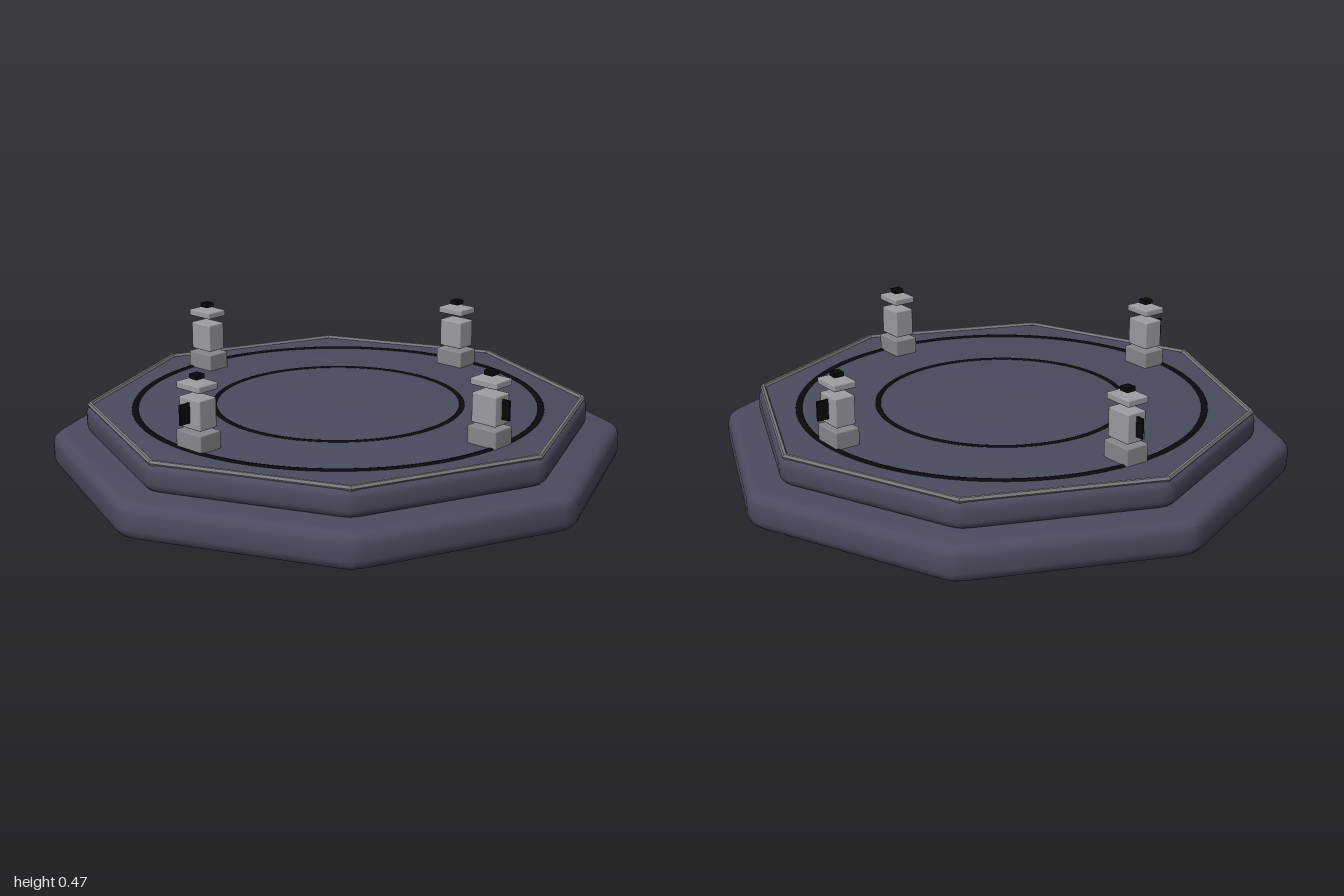
import * as THREE from 'three';
import { toCreasedNormals } from 'three/addons/utils/BufferGeometryUtils.js';
import { RoundedBoxGeometry } from 'three/addons/geometries/RoundedBoxGeometry.js';

const mat = (color, flatShading = false) => new THREE.MeshStandardMaterial({ color, flatShading });
const slate = mat(0x4a4c5e);
const stone = mat(0x9c9ea5);
const stoneDark = mat(0x86888e);
const trimGrey = mat(0x77797c, true);
const black = mat(0x0a0a0c);

function add(parent, name, geometry, material, x = 0, y = 0, z = 0) {
  const mesh = new THREE.Mesh(geometry, material);
  mesh.name = name;
  mesh.position.set(x, y, z);
  parent.add(mesh);
  return mesh;
}

// Octagon with corners on the axes, each corner rounded by a short arc
function octagon(reach, fillet) {
  const shape = new THREE.Shape();
  const centre = reach - fillet;
  for (let i = 0; i < 8; i++) {
    const a = (i * Math.PI) / 4;
    for (let k = -1; k <= 1; k++) {
      const b = a + (k * Math.PI) / 8;
      const x = centre * Math.cos(a) + fillet * Math.cos(b);
      const y = centre * Math.sin(a) + fillet * Math.sin(b);
      if (i === 0 && k === -1) shape.moveTo(x, y);
      else shape.lineTo(x, y);
    }
  }
  shape.closePath();
  return shape;
}

// Octagonal slab with soft top and bottom edges
function slab(reach, fillet, bottom, top, bevel) {
  const geometry = new THREE.ExtrudeGeometry(octagon(reach, fillet), {
    depth: top - bottom - 2 * bevel,
    bevelEnabled: true,
    bevelSize: bevel,
    bevelThickness: bevel,
    bevelOffset: -bevel,
    bevelSegments: 3,
  });
  geometry.rotateX(-Math.PI / 2);
  geometry.translate(0, bottom + bevel, 0);
  return toCreasedNormals(geometry, 0.6);
}

// Box standing on a given height
function block(parent, name, w, h, d, y, material) {
  return add(parent, name, new RoundedBoxGeometry(w, h, d, 1, 0.005), material, 0, y + h / 2, 0);
}

export function createModel() {
  const model = new THREE.Group();
  model.name = 'octagonalPlatform';

  // Two stacked tiers
  add(model, 'lowerTier', slab(1, 0.1, 0, 0.122, 0.036), slate);
  add(model, 'upperTier', slab(0.88, 0.08, 0.121, 0.218, 0.028), slate);

  // Octagonal edge trim
  const trim = new THREE.TorusGeometry(0.866, 0.01, 6, 8).rotateX(Math.PI / 2);
  add(model, 'edgeTrim', trim, trimGrey, 0, 0.218, 0);

  // Dark inlaid rings on the deck
  for (const [name, radius, tube] of [['outerRing', 0.708, 0.013], ['innerRing', 0.434, 0.011]]) {
    const ring = new THREE.TorusGeometry(radius, tube, 8, 72).rotateX(Math.PI / 2);
    add(model, name, ring, black, 0, 0.216, 0).scale.y = 0.5;
  }

  // Four posts, all facing the same way, each with a thin fin pointing outward
  for (let i = 0; i < 4; i++) {
    const dx = Math.round(Math.cos((i * Math.PI) / 2));
    const dz = Math.round(Math.sin((i * Math.PI) / 2));
    const post = new THREE.Group();
    post.name = 'post';
    post.position.set(dx * 0.664, 0, dz * 0.664);
    block(post, 'postFoot', 0.116, 0.064, 0.09, 0.214, stoneDark);
    block(post, 'postBody', 0.098, 0.102, 0.074, 0.288, stone);
    block(post, 'postCap', 0.108, 0.024, 0.084, 0.415, stone);
    add(post, 'postFinial', new THREE.BoxGeometry(0.034, 0.016, 0.034), black, 0, 0.457, 0);
    const fin = new THREE.BoxGeometry(dx ? 0.05 : 0.007, 0.068, dz ? 0.05 : 0.007);
    add(post, 'postFin', fin, black, dx * 0.053, 0.343, dz * 0.053);
    model.add(post);
  }
  return model;
}
